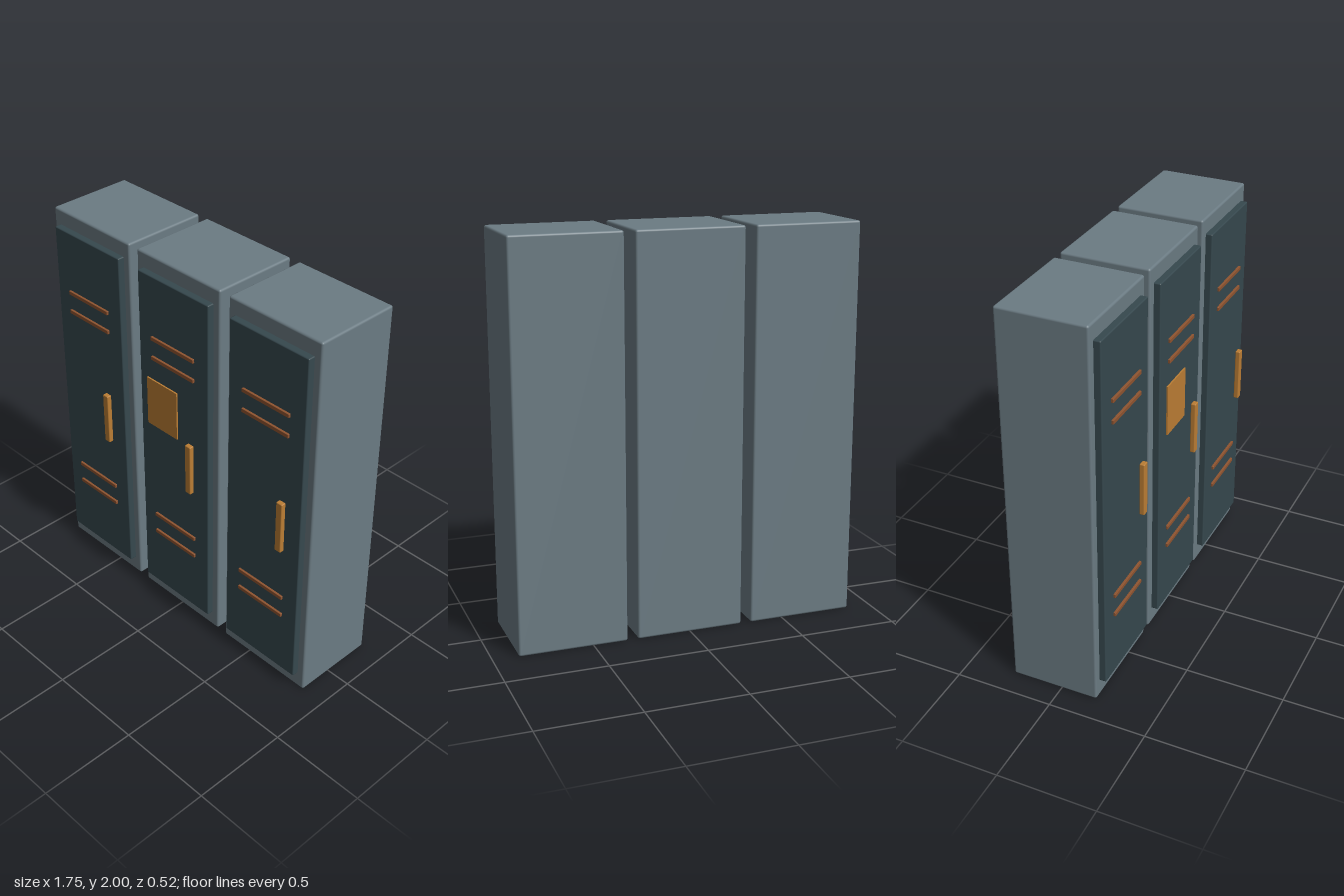
import * as THREE from 'three';
import { RoundedBoxGeometry } from 'three/addons/geometries/RoundedBoxGeometry.js';

const material = (name, color) => {
  const m = new THREE.MeshStandardMaterial({ color });
  m.name = name;
  return m;
};

// Box given by its lower and upper corners; a radius softens the edges
function box(name, mat, [x0, y0, z0], [x1, y1, z1], radius = 0) {
  const size = [x1 - x0, y1 - y0, z1 - z0];
  const geometry = radius
    ? new RoundedBoxGeometry(...size, 2, radius)
    : new THREE.BoxGeometry(...size);
  const mesh = new THREE.Mesh(geometry, mat);
  mesh.name = name;
  mesh.position.set((x0 + x1) / 2, (y0 + y1) / 2, (z0 + z1) / 2);
  return mesh;
}

export function createModel() {
  const steel = material('grey steel', 0x6b7b83);
  const dark = material('dark door paint', 0x36484e);
  const rust = material('rust brown', 0x8f5430);
  const brass = material('ochre', 0xbb7d34);

  const model = new THREE.Group();
  model.name = 'lockers';

  for (const [i, x] of [-0.6, 0, 0.6].entries()) {
    const locker = new THREE.Group();
    locker.name = `locker${i + 1}`;
    locker.position.x = x;

    // Cabinet and raised door
    locker.add(box('cabinet', steel, [-0.273, 0, -0.26], [0.273, 2, 0.187], 0.011));
    locker.add(box('door', dark, [-0.233, 0.088, 0.18], [0.233, 1.92, 0.221], 0.006));

    // Vent slats, two near the top and two near the bottom
    for (const y of [1.595, 1.488, 0.545, 0.436])
      locker.add(box('ventSlat', rust, [-0.143, y - 0.01, 0.215], [0.143, y + 0.01, 0.232], 0.002));

    // Upright handle
    locker.add(box('handle', brass, [0.113, 0.848, 0.234], [0.15, 1.128, 0.26], 0.005));

    // Paper note on the middle door
    if (i === 1)
      locker.add(box('note', brass, [-0.172, 1.107, 0.228], [0.034, 1.37, 0.236]));

    model.add(locker);
  }
  return model;
}
